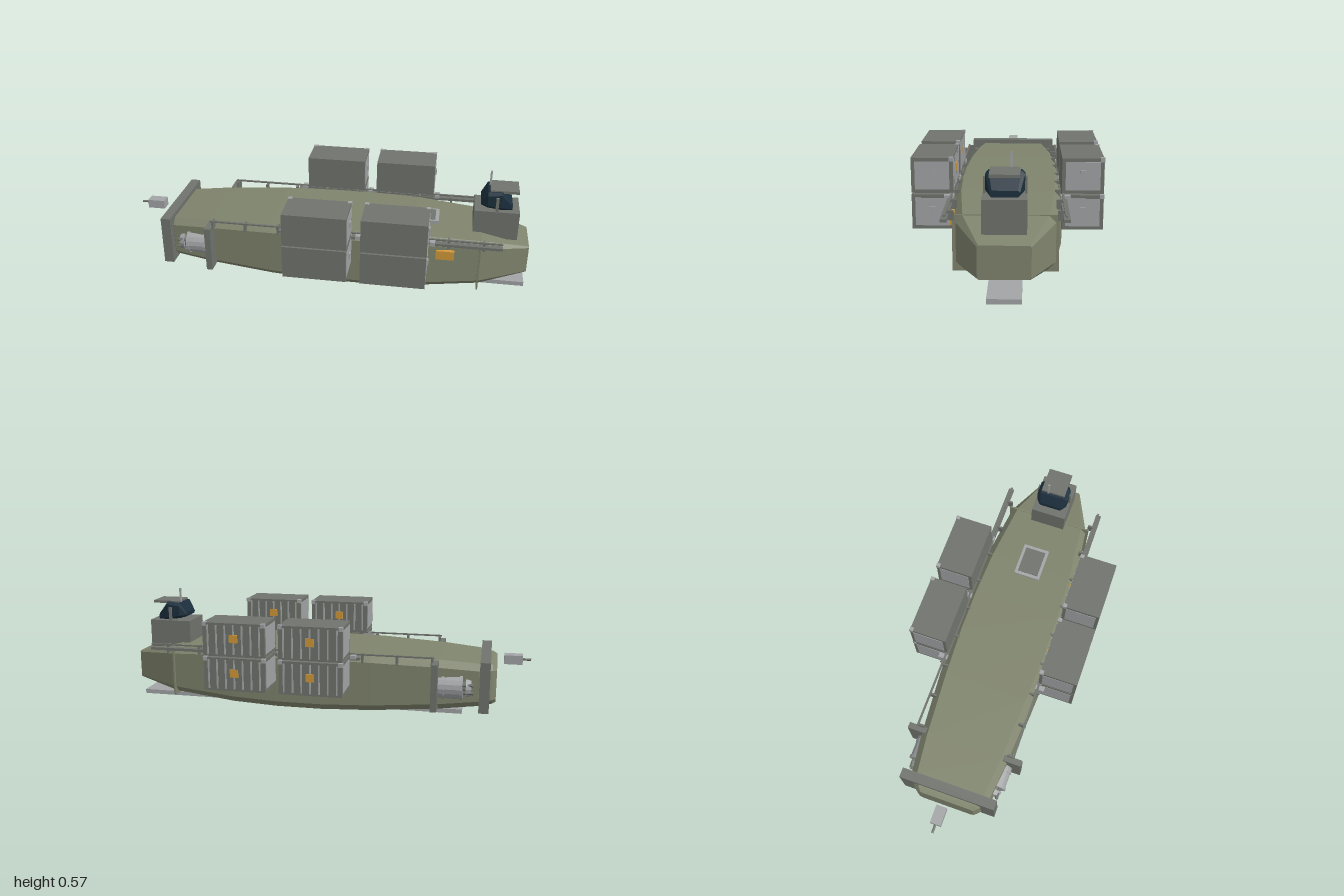
import * as THREE from 'three';

const mat = (color) => new THREE.MeshStandardMaterial({ color, flatShading: true });
const olive = mat(0x7f846d), dark = mat(0x70736d), steel = mat(0xa2a4a6);
const navy = mat(0x1c2f3d), orange = mat(0xd29a3a);

// Loft of chamfered rectangles along x: [x, bottom, top, halfWidth, chamfer, centreZ]
function loft(stations) {
  const pos = [], idx = [], n = 8;
  for (const [x, b, t, w, c] of stations) {
    const loop = [[w, b + c], [w, t - c], [w - c, t], [c - w, t], [-w, t - c], [-w, b + c], [c - w, b], [w - c, b]];
    for (const [z, y] of loop) pos.push(x, y, z);
  }
  const last = (stations.length - 1) * n;
  for (let s = 0; s < last; s += n) {
    for (let j = 0; j < n; j++) {
      const k = (j + 1) % n;
      idx.push(s + j, s + n + j, s + k, s + k, s + n + j, s + n + k);
    }
  }
  for (let j = 1; j < n - 1; j++) idx.push(0, j, j + 1, last, last + j + 1, last + j);
  const g = new THREE.BufferGeometry();
  g.setAttribute('position', new THREE.Float32BufferAttribute(pos, 3));
  g.setIndex(idx);
  g.computeVertexNormals();
  return g;
}

function add(parent, name, geometry, material) {
  const m = new THREE.Mesh(geometry, material);
  m.name = name;
  parent.add(m);
  return m;
}

// Box given by its limits on each axis
function box(parent, name, material, x0, x1, y0, y1, z0, z1) {
  const m = add(parent, name, new THREE.BoxGeometry(x1 - x0, y1 - y0, z1 - z0), material);
  m.position.set((x0 + x1) / 2, (y0 + y1) / 2, (z0 + z1) / 2);
  return m;
}

// Cylinder lying along x
function tubeX(parent, name, material, x0, x1, y, z, r0, r1 = r0, sides = 16) {
  const m = add(parent, name, new THREE.CylinderGeometry(r1, r0, x1 - x0, sides), material);
  m.rotation.z = -Math.PI / 2;
  m.position.set((x0 + x1) / 2, y, z);
  return m;
}

// Container with door side facing -z and a latch on its +x end
function container(x, y, z) {
  const g = new THREE.Group();
  g.name = 'cargoContainer';
  const w = 0.151, h = 0.08, d = 0.093;
  box(g, 'containerBody', dark, -w, w, -h, h, -d, d);
  for (const s of [-1, 1]) {
    box(g, 'endPanel', steel, s * w - 0.002, s * w + 0.002, -h + 0.016, h - 0.016, -d + 0.016, d - 0.016);
    box(g, 'cornerBlock', steel, s * 0.143 - 0.01, s * 0.143 + 0.01, h - 0.016, h + 0.003, -d - 0.003, -d + 0.017);
  }
  box(g, 'latch', steel, w, w + 0.008, -0.002, 0.026, -0.014, 0.014);
  for (let i = -3; i <= 3; i++) {
    box(g, 'doorRib', steel, i * 0.042 - 0.004, i * 0.042 + 0.004, -h + 0.01, h - 0.01, -d - 0.003, -d);
  }
  box(g, 'doorPlate', orange, -0.02, 0.02, -0.012, 0.026, -d - 0.006, -d);
  g.position.set(x, y, z);
  return g;
}

function thruster(side) {
  const g = new THREE.Group();
  g.name = 'thruster';
  const z = side * 0.192, y = 0.175;
  tubeX(g, 'thrusterBody', steel, -0.68, -0.56, y, z, 0.058);
  for (const x of [-0.685, -0.6]) tubeX(g, 'thrusterBand', steel, x, x + 0.014, y, z, 0.062);
  tubeX(g, 'thrusterNeck', dark, -0.705, -0.68, y, z, 0.035);
  tubeX(g, 'thrusterNozzle', steel, -0.725, -0.7, y, z, 0.04, 0.048);
  for (let i = 0; i < 6; i++) {
    const a = (i * Math.PI) / 3;
    tubeX(g, 'nozzleBolt', dark, -0.735, -0.68, y + 0.038 * Math.cos(a), z + 0.038 * Math.sin(a), 0.008, 0.008, 6);
  }
  return g;
}

export function createModel() {
  const model = new THREE.Group();
  model.name = 'cargoSubmersible';

  // Hull, keel and frames
  add(model, 'hull', loft([
    [-0.84, 0.092, 0.272, 0.143, 0.02],
    [-0.82, 0.085, 0.28, 0.165, 0.025],
    [-0.76, 0.08, 0.288, 0.2, 0.03],
    [-0.57, 0.06, 0.303, 0.222, 0.032],
    [-0.25, 0.037, 0.317, 0.245, 0.034],
    [0, 0.03, 0.32, 0.256, 0.034],
    [0.22, 0.03, 0.32, 0.256, 0.034],
    [0.45, 0.038, 0.317, 0.246, 0.034],
    [0.77, 0.065, 0.297, 0.21, 0.03],
    [1.0, 0.105, 0.246, 0.107, 0.006],
  ]), olive);
  box(model, 'keelPlank', steel, -0.68, 1.0, 0.002, 0.024, -0.07, 0.072);
  box(model, 'sternPlate', dark, -0.81, -0.762, 0.065, 0.31, -0.24, 0.24);
  box(model, 'bowFrame', olive, 0.761, 0.769, 0.053, 0.3, -0.223, 0.225);

  // Deck hatch
  box(model, 'hatchFrame', steel, 0.385, 0.56, 0.31, 0.327, -0.07, 0.066);
  box(model, 'hatchLid', dark, 0.402, 0.543, 0.32, 0.33, -0.055, 0.051);

  // Parts on both sides
  for (const s of [-1, 1]) {
    const side = (name, m, x0, x1, y0, y1, z0, z1) =>
      box(model, name, m, x0, x1, y0, y1, Math.min(s * z0, s * z1), Math.max(s * z0, s * z1));
    side('thrusterBracket', dark, -0.57, -0.54, 0.073, 0.3, 0.2, 0.293);
    model.add(thruster(s));
    side('sideRail', dark, -0.2, 0.865, 0.296, 0.309, 0.236, 0.264);
    side('handRail', dark, -0.55, 0.865, 0.319, 0.326, 0.242, 0.252);
    for (let i = 0; i <= 8; i++) {
      const x = -0.54 + i * 0.165;
      side('railPost', dark, x - 0.005, x + 0.005, 0.28, 0.322, 0.215, 0.252);
    }
    for (const x of [-0.17, 0.188, 0.54]) {
      side('cargoBracket', steel, x - 0.012, x + 0.012, 0.305, 0.322, 0.235, 0.28);
    }
    for (const x of [0.002, 0.369]) {
      for (const y of [0.237, 0.404]) model.add(container(x, y, s * 0.335));
    }
  }
  box(model, 'sidePlate', orange, 0.558, 0.645, 0.215, 0.26, 0.2, 0.246);

  // Tower with glazed cabin
  box(model, 'tower', dark, 0.725, 0.94, 0.27, 0.412, -0.089, 0.092);
  add(model, 'cabin', loft([
    [0.755, 0.43, 0.45, 0.06, 0.008],
    [0.785, 0.422, 0.5, 0.08, 0.014],
    [0.85, 0.414, 0.508, 0.08, 0.014],
    [0.905, 0.412, 0.44, 0.06, 0.008],
  ]), navy);
  box(model, 'cabinRoofPlate', dark, 0.795, 0.93, 0.498, 0.511, -0.062, 0.062);
  for (const s of [-1, 1]) {
    box(model, 'cabinArm', dark, 0.824, 0.838, 0.41, 0.482, s * 0.084 - 0.005, s * 0.084 + 0.005);
  }
  box(model, 'mast', steel, 0.791, 0.8, 0.49, 0.574, -0.03, -0.021);

  // Trailing sensor
  box(model, 'sensorBox', steel, -0.96, -0.872, 0.256, 0.3, -0.026, 0.027);
  tubeX(model, 'sensorRod', dark, -1.0, -0.96, 0.278, 0, 0.006, 0.006, 8);
  return model;
}
